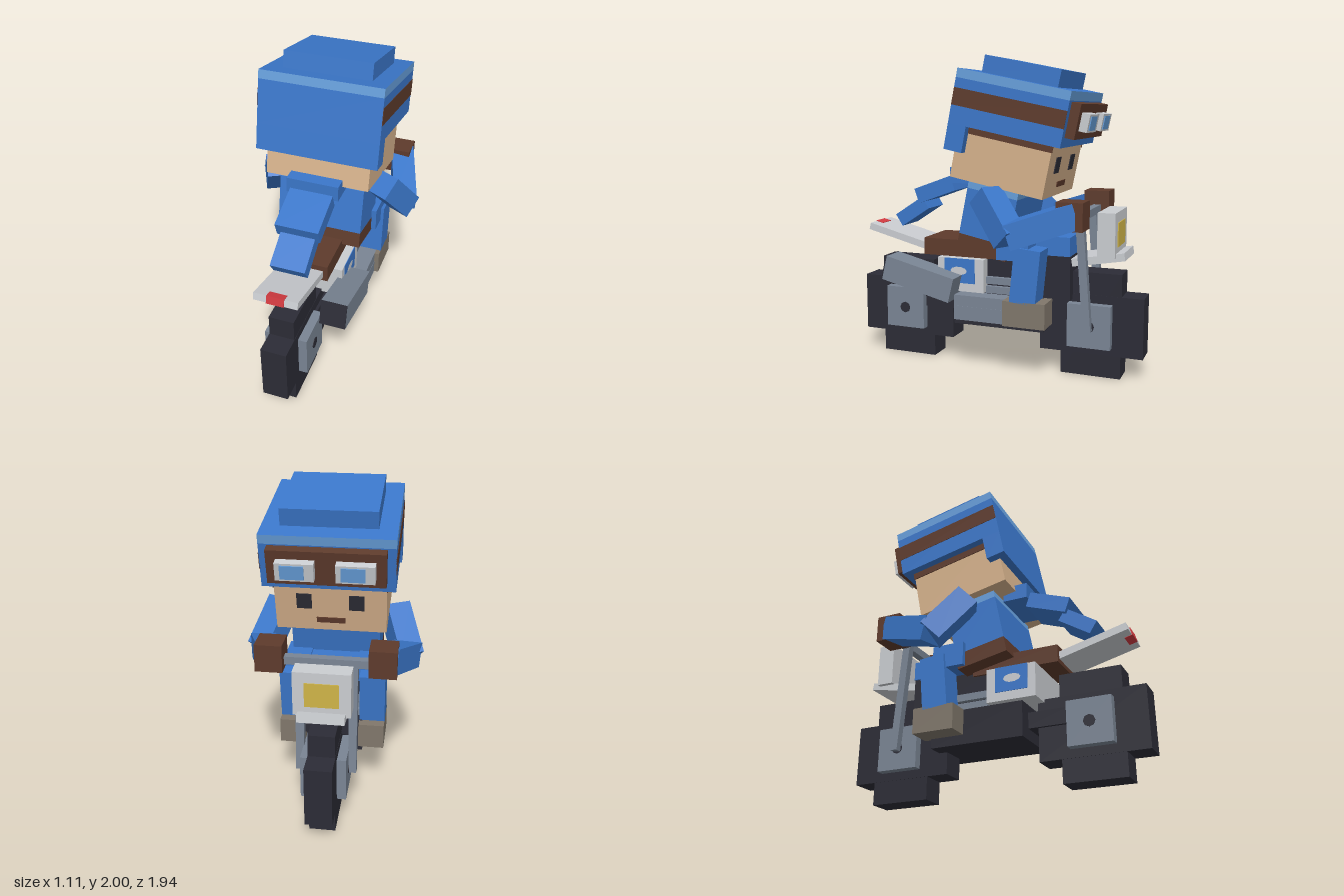
import * as THREE from 'three';

const mat = (name, color) => {
  const m = new THREE.MeshStandardMaterial({ color });
  m.name = name;
  return m;
};

export function createModel() {
  const blue = mat('blue cloth', 0x3b77ca);
  const lightBlue = mat('light blue trim', 0x679fdb);
  const brown = mat('brown leather', 0x5e3b2c);
  const skin = mat('skin', 0xd6b28c);
  const dark = mat('dark rubber', 0x2c2c36);
  const steel = mat('grey steel', 0x7a8594);
  const silver = mat('light silver', 0xcacdd1);
  const taupe = mat('boot taupe', 0x80776b);
  const red = mat('tail light red', 0xd23a40);
  const yellow = mat('lamp yellow', 0xcfb448);

  const model = new THREE.Group();
  model.name = 'motorcycleAndRider';

  const group = (name, y = 0, z = 0, tilt = 0) => {
    const g = new THREE.Group();
    g.name = name;
    g.position.set(0, y, z);
    g.rotation.x = tilt;
    model.add(g);
    return g;
  };
  // Box given by its extents on each axis
  const box = (parent, name, material, [x0, x1], [y0, y1], [z0, z1]) => {
    const m = new THREE.Mesh(new THREE.BoxGeometry(x1 - x0, y1 - y0, z1 - z0), material);
    m.position.set((x0 + x1) / 2, (y0 + y1) / 2, (z0 + z1) / 2);
    m.name = name;
    parent.add(m);
    return m;
  };
  // Box running from point a to point b
  const limb = (parent, name, material, a, b, w, h) => {
    const p = new THREE.Vector3(...a), q = new THREE.Vector3(...b);
    const m = new THREE.Mesh(new THREE.BoxGeometry(w, h, p.distanceTo(q)), material);
    m.position.copy(p).add(q).multiplyScalar(0.5);
    m.lookAt(q);
    m.name = name;
    parent.add(m);
    return m;
  };
  const mirrored = (s, a, b) => (s > 0 ? [a, b] : [-b, -a]);
  // Trim band whose top face keeps the main cloth colour
  const trim = [lightBlue, lightBlue, blue, blue, lightBlue, lightBlue];

  // Wheels with square hubs
  const bike = group('motorcycle');
  for (const [name, z] of [['rearWheel', 0.64], ['frontWheel', -0.637]]) {
    const wheel = group(name, 0.334, z);
    box(wheel, 'tyreLong', dark, [-0.082, 0.082], [-0.191, 0.191], [-0.332, 0.332]);
    box(wheel, 'tyreTall', dark, [-0.08, 0.08], [-0.334, 0.332], [-0.193, 0.193]);
    box(wheel, 'hub', steel, [-0.138, 0.138], [-0.138, 0.138], [-0.138, 0.138]);
    const axle = new THREE.Mesh(new THREE.CylinderGeometry(0.037, 0.037, 0.284, 8), dark);
    axle.rotation.z = Math.PI / 2;
    axle.name = 'axle';
    wheel.add(axle);
  }

  // Engine, frame and tank
  box(bike, 'engineBlock', dark, [-0.19, 0.19], [0.28, 0.5], [-0.36, 0.25]);
  box(bike, 'swingArm', dark, [-0.1, 0.1], [0.35, 0.45], [0.2, 0.5]);
  box(bike, 'frame', dark, [-0.15, 0.15], [0.49, 0.77], [-0.52, 0.1]);
  for (const y of [0.5, 0.56]) {
    box(bike, 'engineFin', steel, [-0.18, 0.18], [y, y + 0.045], [-0.3, 0.04]);
  }
  box(bike, 'tank', blue, [-0.16, 0.16], [0.77, 0.89], [-0.52, 0.02]);

  // Side panels
  box(bike, 'sidePanel', silver, [-0.22, 0.22], [0.505, 0.72], [0.03, 0.35]);
  for (const s of [-1, 1]) {
    box(bike, 'panelInset', blue, mirrored(s, 0.218, 0.224), [0.56, 0.72], [0.09, 0.3]);
    const oval = new THREE.Mesh(new THREE.CircleGeometry(0.5, 10), silver);
    oval.scale.set(0.115, 0.055, 1);
    oval.position.set(s * 0.227, 0.64, 0.2);
    oval.rotation.y = s * Math.PI / 2;
    oval.name = 'panelOval';
    bike.add(oval);
  }
  box(bike, 'seat', brown, [-0.165, 0.165], [0.72, 0.83], [-0.09, 0.475]);

  // Exhaust on one side
  box(bike, 'exhaustPipe', steel, [0.16, 0.3], [0.34, 0.43], [-0.3, 0.2]);
  box(bike, 'exhaustCover', steel, [0.16, 0.298], [0.43, 0.5], [-0.3, 0.2]);
  const muffler = group('muffler', 0.594, 0.437, -0.24);
  box(muffler, 'mufflerBody', steel, [0.19, 0.355], [-0.08, 0.08], [-0.245, 0.24]);
  box(muffler, 'mufflerEnd', dark, [0.19, 0.355], [-0.08, 0.08], [0.24, 0.247]);

  // Tail and front fender
  const tail = group('tail', 0.82, 0.67, -0.25);
  box(tail, 'tailFender', silver, [-0.138, 0.138], [-0.023, 0.023], [-0.24, 0.238]);
  box(tail, 'tailLight', red, [-0.055, 0.055], [-0.026, 0.026], [0.19, 0.243]);
  const fender = group('frontFender', 0.76, -0.69, 0.175);
  box(fender, 'fenderPlate', silver, [-0.138, 0.138], [-0.024, 0.024], [-0.167, 0.167]);

  // Headlight, fork and handlebar
  box(bike, 'headlight', silver, [-0.168, 0.168], [0.78, 1.055], [-0.8, -0.69]);
  box(bike, 'lamp', yellow, [-0.1, 0.1], [0.84, 0.99], [-0.806, -0.798]);
  for (const s of [-1, 1]) {
    limb(bike, 'fork', steel, [s * 0.16, 1.03, -0.58], [s * 0.16, 0.31, -0.637], 0.05, 0.05);
  }
  box(bike, 'handlebar', steel, [-0.28, 0.28], [1.0, 1.05], [-0.61, -0.56]);

  // Rider's torso, leaning towards the handlebar
  const torso = group('torso', 0.8, 0.19, -0.2);
  box(torso, 'belt', brown, [-0.278, 0.278], [0, 0.1], [-0.335, 0]);
  box(torso, 'jacket', blue, [-0.278, 0.278], [0.1, 0.395], [-0.335, 0]);
  box(torso, 'shoulderTrim', trim, [-0.278, 0.278], [0.395, 0.44], [-0.335, 0]);

  // Arms, hands, legs and boots
  const rider = group('riderLimbs');
  for (const s of [-1, 1]) {
    limb(rider, 'upperArm', blue, [s * 0.355, 1.16, -0.04], [s * 0.46, 0.91, -0.24], 0.155, 0.155);
    limb(rider, 'forearm', blue, [s * 0.465, 0.93, -0.22], [s * 0.34, 1.06, -0.6], 0.15, 0.155);
    box(rider, 'hand', brown, mirrored(s, 0.25, 0.413), [0.97, 1.14], [-0.663, -0.5]);
    box(rider, 'thigh', blue, mirrored(s, 0.15, 0.31), [0.75, 0.9], [-0.3, -0.09]);
    limb(rider, 'shin', blue, [s * 0.25, 0.83, -0.3], [s * 0.25, 0.49, -0.267], 0.16, 0.168);
    box(rider, 'boot', taupe, mirrored(s, 0.17, 0.33), [0.34, 0.5], [-0.413, -0.14]);
  }

  // Scarf blowing backwards
  const scarf = group('scarf');
  box(scarf, 'scarfKnot', blue, [-0.167, 0.167], [1.2, 1.3], [0.12, 0.283]);
  limb(scarf, 'scarfMiddle', blue, [0, 1.195, 0.28], [0, 1.1, 0.54], 0.275, 0.1);
  limb(scarf, 'scarfEnd', blue, [0, 1.055, 0.492], [0, 0.927, 0.689], 0.22, 0.09);

  // Head, with its origin at the cap's upper rear edge
  const head = group('head', 1.915, 0.125, -0.2);
  box(head, 'face', skin, [-0.33, 0.33], [-0.66, -0.3], [-0.66, -0.05]);
  box(head, 'cap', blue, [-0.385, 0.385], [-0.332, -0.055], [-0.72, 0]);
  box(head, 'capTrim', trim, [-0.385, 0.385], [-0.055, 0], [-0.72, 0]);
  box(head, 'capNeck', blue, [-0.385, 0.385], [-0.494, -0.332], [-0.12, 0]);
  box(head, 'capCrown', blue, [-0.278, 0.278], [0, 0.105], [-0.605, -0.115]);
  box(head, 'mouth', brown, [-0.085, 0.085], [-0.605, -0.57], [-0.666, -0.658]);
  for (const s of [-1, 1]) {
    box(head, 'hair', brown, mirrored(s, 0.329, 0.336), [-0.375, -0.332], [-0.665, -0.12]);
    box(head, 'strap', brown, mirrored(s, 0.38, 0.388), [-0.22, -0.115], [-0.72, -0.001]);
    box(head, 'eye', dark, mirrored(s, 0.11, 0.2), [-0.51, -0.41], [-0.666, -0.658]);
  }

  // Goggles on the cap
  box(head, 'goggleFrame', brown, [-0.335, 0.335], [-0.272, -0.062], [-0.778, -0.71]);
  for (const s of [-1, 1]) {
    box(head, 'goggleRim', silver, mirrored(s, 0.06, 0.278), [-0.222, -0.113], [-0.828, -0.778]);
    const x = s * 0.169 + 0.02;
    box(head, 'goggleLens', lightBlue, [x - 0.075, x + 0.06], [-0.21, -0.125], [-0.834, -0.827]);
  }

  return model;
}
